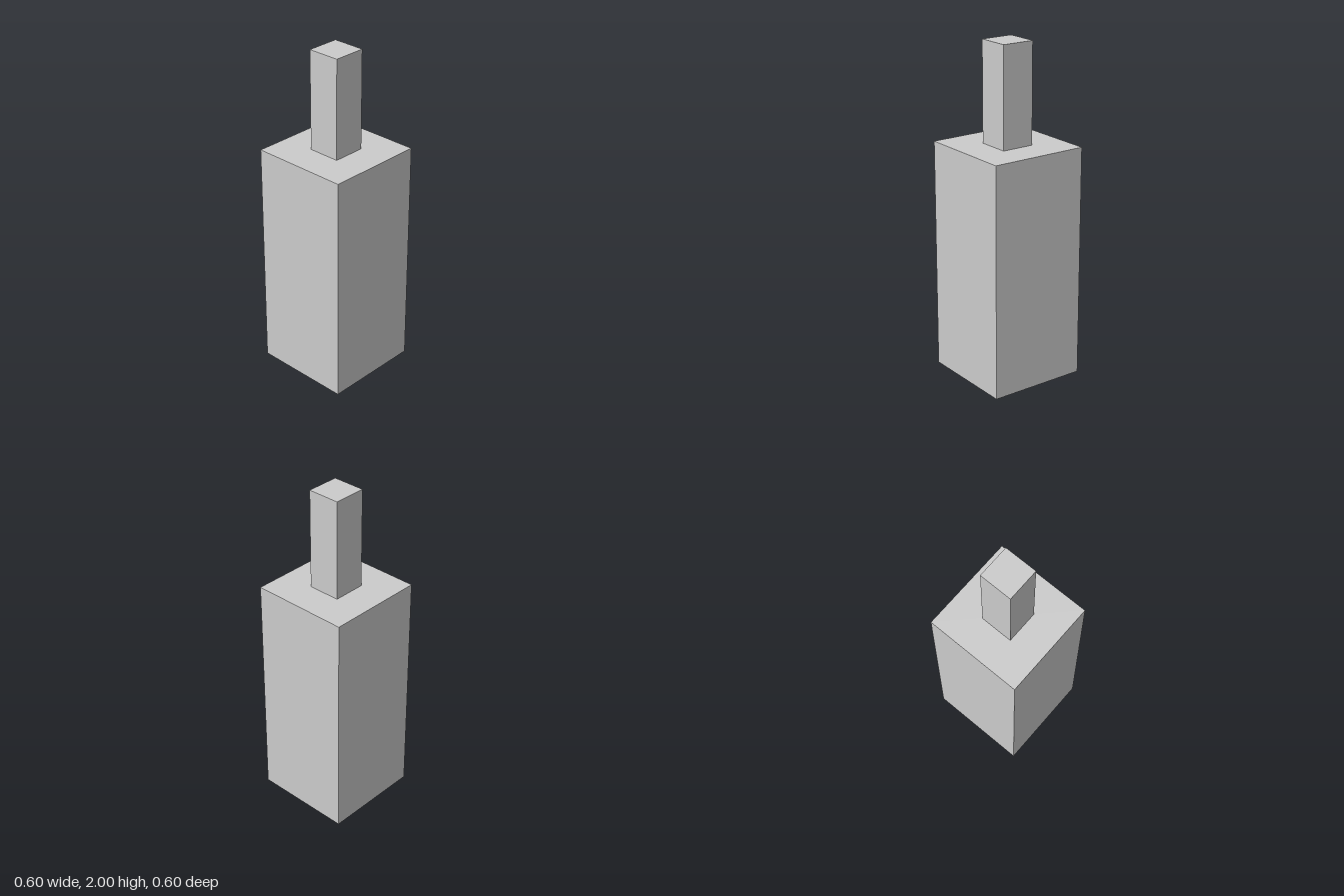
import * as THREE from 'three';

const material = new THREE.MeshStandardMaterial({ color: 0xcccccc });

// Square block of given width, spanning bottom to top
function block(name, width, bottom, top) {
  const mesh = new THREE.Mesh(new THREE.BoxGeometry(width, top - bottom, width), material);
  mesh.name = name;
  mesh.position.y = (bottom + top) / 2;
  return mesh;
}

export function createModel() {
  const group = new THREE.Group();
  group.name = 'squareBottle';
  group.add(
    block('body', 0.6, 0, 1.4),
    block('neck', 0.2, 1.4, 2),
  );
  return group;
}
